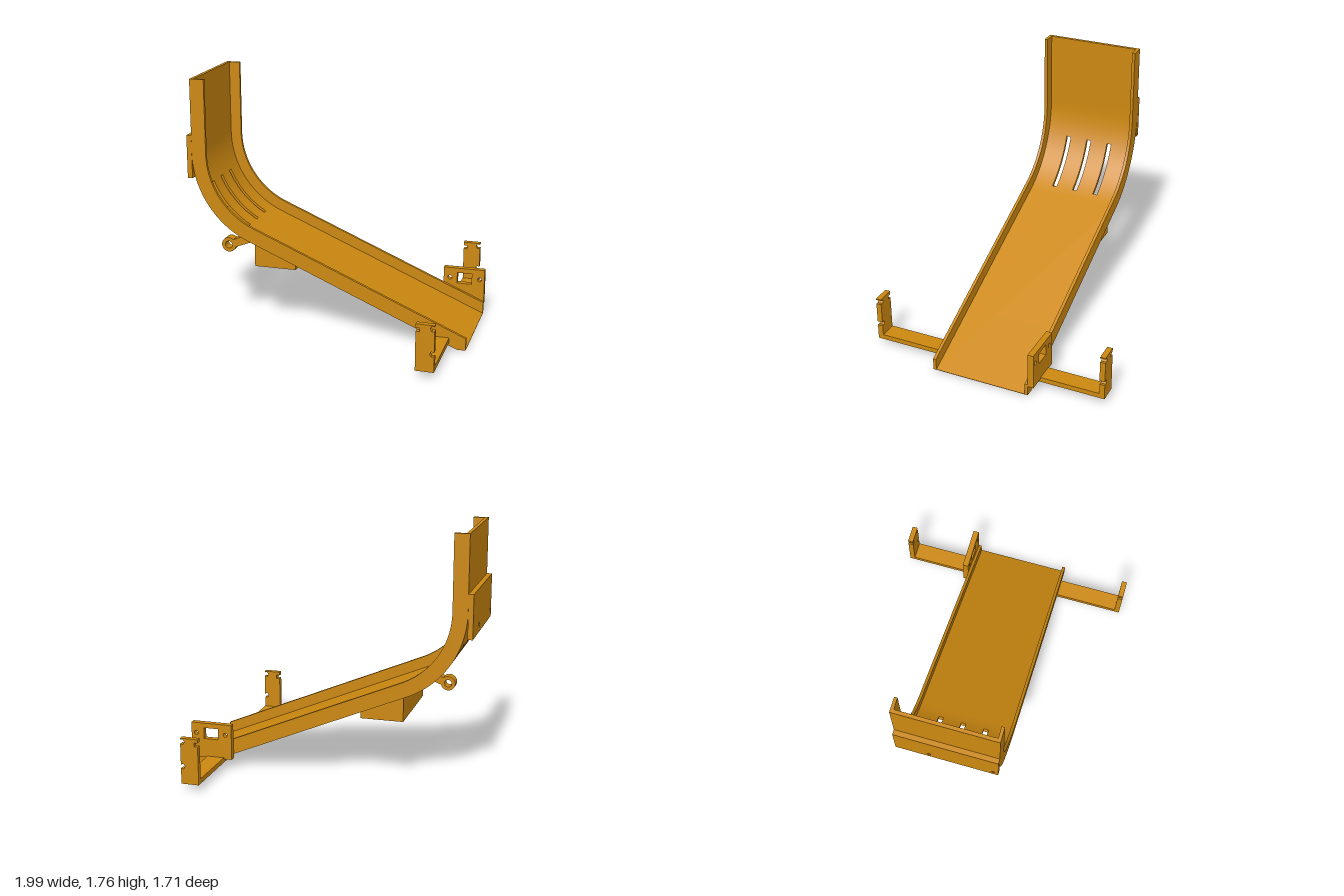
import * as THREE from 'three';
import { toCreasedNormals } from 'three/addons/utils/BufferGeometryUtils.js';

const CX = -0.303, CY = 1.24;          // centre of the bend
const R_OUT = 0.66, R_FLOOR = 0.635, R_RIM = 0.557;
const START = Math.PI, END = Math.PI + THREE.MathUtils.degToRad(67);
const SLOT_A = Math.PI + THREE.MathUtils.degToRad(23), SLOT_B = Math.PI + THREE.MathUtils.degToRad(60);
const TOP = 1.76, TIP = 0.99, HALF = 0.355, WALL = 0.022;
const SLOPE = -1 / Math.tan(END - Math.PI);

export function createModel() {
  const group = new THREE.Group();
  const amber = new THREE.MeshStandardMaterial({ color: 0xcc8810 });
  amber.name = 'amber';

  function add(name, geometry) {
    const mesh = new THREE.Mesh(geometry, amber);
    mesh.name = name;
    group.add(mesh);
    return mesh;
  }

  // Extrude an x-y outline from z0 to z1
  function slab(name, points, z0, z1, holes = []) {
    const shape = new THREE.Shape(points.map(([x, y]) => new THREE.Vector2(x, y)));
    shape.holes = holes;
    const geo = new THREE.ExtrudeGeometry(shape, { depth: z1 - z0, bevelEnabled: false, curveSegments: 24 });
    geo.translate(0, 0, z0);
    return add(name, toCreasedNormals(geo, 0.4));
  }

  const rect = (x0, y0, x1, y1) => [[x0, y0], [x1, y0], [x1, y1], [x0, y1]];
  const rectHole = (...r) => new THREE.Path(rect(...r).map(([x, y]) => new THREE.Vector2(x, y)));
  const roundHole = (x, y, r) => new THREE.Path().absarc(x, y, r, 0, Math.PI * 2, true);

  function arc(r, a, b) {
    const n = Math.max(4, Math.ceil(Math.abs(b - a) * 32));
    return Array.from({ length: n + 1 }, (_, i) => {
      const t = a + (b - a) * i / n;
      return [CX + r * Math.cos(t), CY + r * Math.sin(t)];
    });
  }

  // Outline between two radii; optional straight runs above and below the bend
  function band(rOut, rIn, a, b, upper, lower) {
    const pts = [];
    if (upper) pts.push([CX - rOut, TOP]);
    pts.push(...arc(rOut, a, b));
    if (lower) {
      const [ox, oy] = arc(rOut, a, b).at(-1);
      const [ix, iy] = arc(rIn, a, b).at(-1);
      pts.push([ox - oy / SLOPE, 0], [TIP, 0]);
      pts.push([TIP, Math.max(0.003, iy + SLOPE * (TIP - ix))]);
    }
    pts.push(...arc(rIn, b, a));
    if (upper) pts.push([CX - rIn, TOP]);
    return pts;
  }

  // Chute floor, with strips left standing between three slots
  const inner = HALF - WALL;
  slab('upperFloor', band(R_OUT, R_FLOOR, START, SLOT_A, true, false), -inner, inner);
  slab('lowerFloor', band(R_OUT, R_FLOOR, SLOT_B, END, false, true), -inner, inner);
  const edges = [-inner];
  for (const z of [-0.165, 0, 0.165]) edges.push(z - 0.017, z + 0.017);
  edges.push(inner);
  for (let i = 0; i < edges.length; i += 2) {
    slab('slottedFloor', band(R_OUT, R_FLOOR, SLOT_A, SLOT_B, false, false), edges[i], edges[i + 1]);
  }

  // Side walls
  const wall = band(R_OUT, R_RIM, START, END, true, true);
  slab('leftWall', wall, inner, HALF);
  slab('rightWall', wall, -HALF, -inner);

  // Mounting plate behind the upright end, drilled along x
  const back = slab('backPlate', rect(-HALF, 1.06, HALF, 1.365), -0.0175, 0.0175,
    [roundHole(-0.12, 1.11, 0.013), roundHole(0.32, 1.11, 0.013)]);
  back.rotation.y = -Math.PI / 2;
  back.position.x = -0.981;

  // Support block under the bend, with a drilled base
  slab('supportBlock', [[-0.53, 0.47], [-0.23, 0.47], [-0.23, 0.5], [-0.53, 0.627]], -0.31, 0.31);
  const holes = [];
  for (const x of [-0.455, -0.305]) for (const z of [-0.2, 0.2]) holes.push(roundHole(x, z, 0.013));
  const base = slab('supportBase', rect(-0.53, -0.31, -0.23, 0.31), 0, 0.03, holes);
  base.rotation.x = -Math.PI / 2;
  base.position.y = 0.44;

  // Eyelet and its arm
  const ring = Array.from({ length: 32 }, (_, i) => {
    const t = i / 32 * Math.PI * 2;
    return [-0.73 + 0.052 * Math.cos(t), 0.575 + 0.052 * Math.sin(t)];
  });
  slab('eyelet', ring, 0.225, 0.295, [roundHole(-0.73, 0.575, 0.026)]);
  slab('eyeletArm', [[-0.685, 0.56], [-0.555, 0.61], [-0.57, 0.645], [-0.6, 0.657], [-0.7, 0.612]], 0.225, 0.295);

  // Plate with a window on the right wall
  slab('sensorPlate', rect(0.69, 0.07, TIP, 0.325), -0.397, -HALF,
    [rectHole(0.79, 0.21, 0.897, 0.29), roundHole(0.735, 0.25, 0.015), roundHole(0.955, 0.25, 0.015)]);

  // Notched outrigger brackets on both sides
  const post = [
    [0.75, 0.045], [0.875, 0.045], [0.875, 0.155], [0.855, 0.152], [0.845, 0.17], [0.855, 0.188],
    [0.875, 0.183], [0.875, 0.33], [0.855, 0.327], [0.845, 0.345], [0.855, 0.363], [0.875, 0.36],
    [0.875, 0.37], [0.75, 0.37], [0.75, 0.345], [0.775, 0.345], [0.775, 0.318], [0.75, 0.318],
  ];
  for (const side of [1, -1]) {
    const name = side > 0 ? 'left' : 'right';
    const z = side > 0 ? [0.817, 0.855] : [-0.855, -0.817];
    slab(name + 'BracketPost', post, ...z);
    const arm = add(name + 'BracketArm', new THREE.BoxGeometry(0.125, 0.035, 0.467));
    arm.position.set(0.8125, 0.0625, side * 0.5845);
  }

  return group;
}
